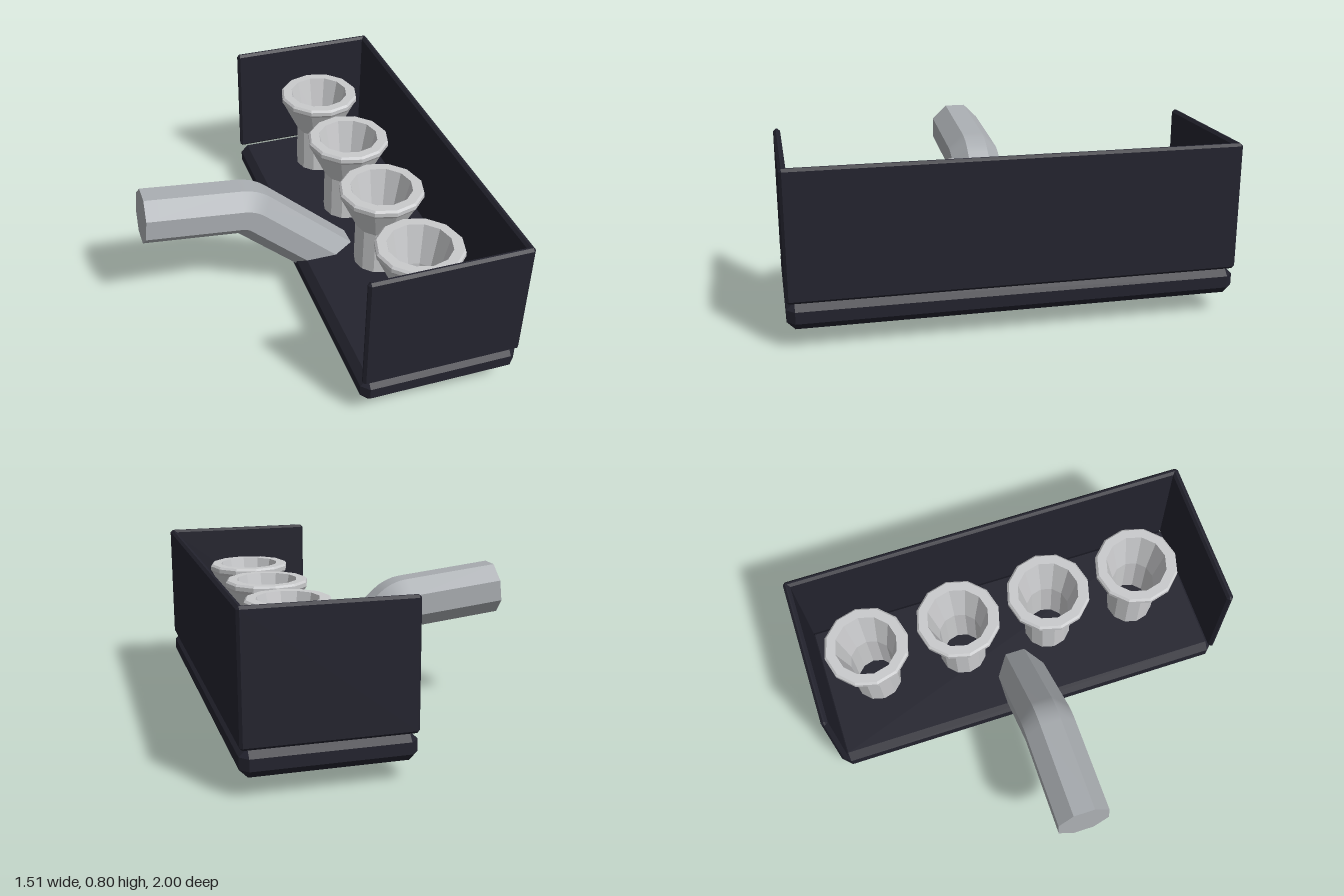
import * as THREE from 'three';
import { ConvexGeometry } from 'three/addons/geometries/ConvexGeometry.js';

const dark = new THREE.MeshStandardMaterial({ color: 0x23232e });
dark.name = 'darkCasing';
const silver = new THREE.MeshStandardMaterial({ color: 0xc9cacc });
silver.name = 'silverFunnel';
const steel = new THREE.MeshStandardMaterial({ color: 0xa9adb1 });
steel.name = 'steelPipe';

// Box between two corners with every edge chamfered by c
function chamferBox(name, min, max, c) {
  const points = [];
  for (let corner = 0; corner < 8; corner++) {
    const side = [corner & 1, (corner >> 1) & 1, (corner >> 2) & 1];
    for (let face = 0; face < 3; face++) {
      const p = side.map((s, axis) => {
        const inset = axis === face ? 0 : c;
        return s ? max[axis] - inset : min[axis] + inset;
      });
      points.push(new THREE.Vector3(...p));
    }
  }
  const mesh = new THREE.Mesh(new ConvexGeometry(points), dark);
  mesh.name = name;
  return mesh;
}

// Twelve-sided intake funnel with a flared, hollow mouth
function funnelGeometry() {
  const profile = [
    [0.118, 0.2], [0.118, 0.45], [0.195, 0.61], [0.205, 0.625], [0.205, 0.645],
    [0.195, 0.655], [0.15, 0.655], [0.105, 0.46], [0.1, 0.2],
  ].map(([r, y]) => new THREE.Vector2(r, y));
  const geometry = new THREE.LatheGeometry(profile, 12).toNonIndexed();
  geometry.computeVertexNormals();
  return geometry;
}

// Eight-sided bent pipe: smooth along its length, sharp between its sides
function pipeGeometry() {
  const apothem = 0.122;
  const radius = apothem / Math.cos(Math.PI / 8);
  const rings = [];
  const addRing = (x, y, degrees) => {
    const t = THREE.MathUtils.degToRad(degrees);
    rings.push({ x, y, nx: Math.sin(t), ny: Math.cos(t) });
  };
  addRing(-0.744, 0.593, 5.5);
  for (let i = 0; i <= 4; i++) {
    const degrees = 5.5 + (36.5 * i) / 4;
    const t = THREE.MathUtils.degToRad(degrees);
    addRing(-0.293 + Math.sin(t) * apothem, 0.421 + Math.cos(t) * apothem, degrees);
  }
  addRing(0.252, 0.094, 42);

  const positions = [];
  const index = [];
  const vertex = (ring, j) => {
    const a = ((j + 0.5) * Math.PI) / 4;
    const up = radius * Math.cos(a);
    positions.push(ring.x + ring.nx * up, ring.y + ring.ny * up, radius * Math.sin(a));
  };
  for (let j = 0; j < 8; j++) {
    const start = positions.length / 3;
    rings.forEach((ring) => { vertex(ring, j); vertex(ring, j + 1); });
    for (let i = 0; i < rings.length - 1; i++) {
      const a = start + i * 2;
      index.push(a, a + 1, a + 2, a + 1, a + 3, a + 2);
    }
  }
  // End caps
  [rings[0], rings[rings.length - 1]].forEach((ring, end) => {
    const start = positions.length / 3;
    for (let j = 0; j < 8; j++) vertex(ring, j);
    for (let j = 1; j < 7; j++) {
      if (end) index.push(start, start + j, start + j + 1);
      else index.push(start, start + j + 1, start + j);
    }
  });
  const geometry = new THREE.BufferGeometry();
  geometry.setAttribute('position', new THREE.Float32BufferAttribute(positions, 3));
  geometry.setIndex(index);
  geometry.computeVertexNormals();
  return geometry;
}

export function createModel() {
  const model = new THREE.Group();
  model.name = 'intakeBox';

  // Base plate and the three walls; the right side stays open
  model.add(chamferBox('basePlate', [0, 0.095, -1], [0.75, 0.22, 1], 0.036));
  model.add(chamferBox('sideWall', [0.718, 0.218, -1], [0.75, 0.8, 1], 0.012));
  model.add(chamferBox('frontWall', [0, 0.218, 0.968], [0.75, 0.8, 1], 0.012));
  model.add(chamferBox('backWall', [0, 0.218, -1], [0.75, 0.8, -0.968], 0.012));

  // Row of funnels
  const geometry = funnelGeometry();
  for (let i = 0; i < 4; i++) {
    const funnel = new THREE.Mesh(geometry, silver);
    funnel.name = `funnel${i + 1}`;
    funnel.position.set(0.377, 0, -0.712 + i * 0.458);
    model.add(funnel);
  }

  // Pipe passing through the base
  const pipe = new THREE.Mesh(pipeGeometry(), steel);
  pipe.name = 'bentPipe';
  model.add(pipe);

  return model;
}
